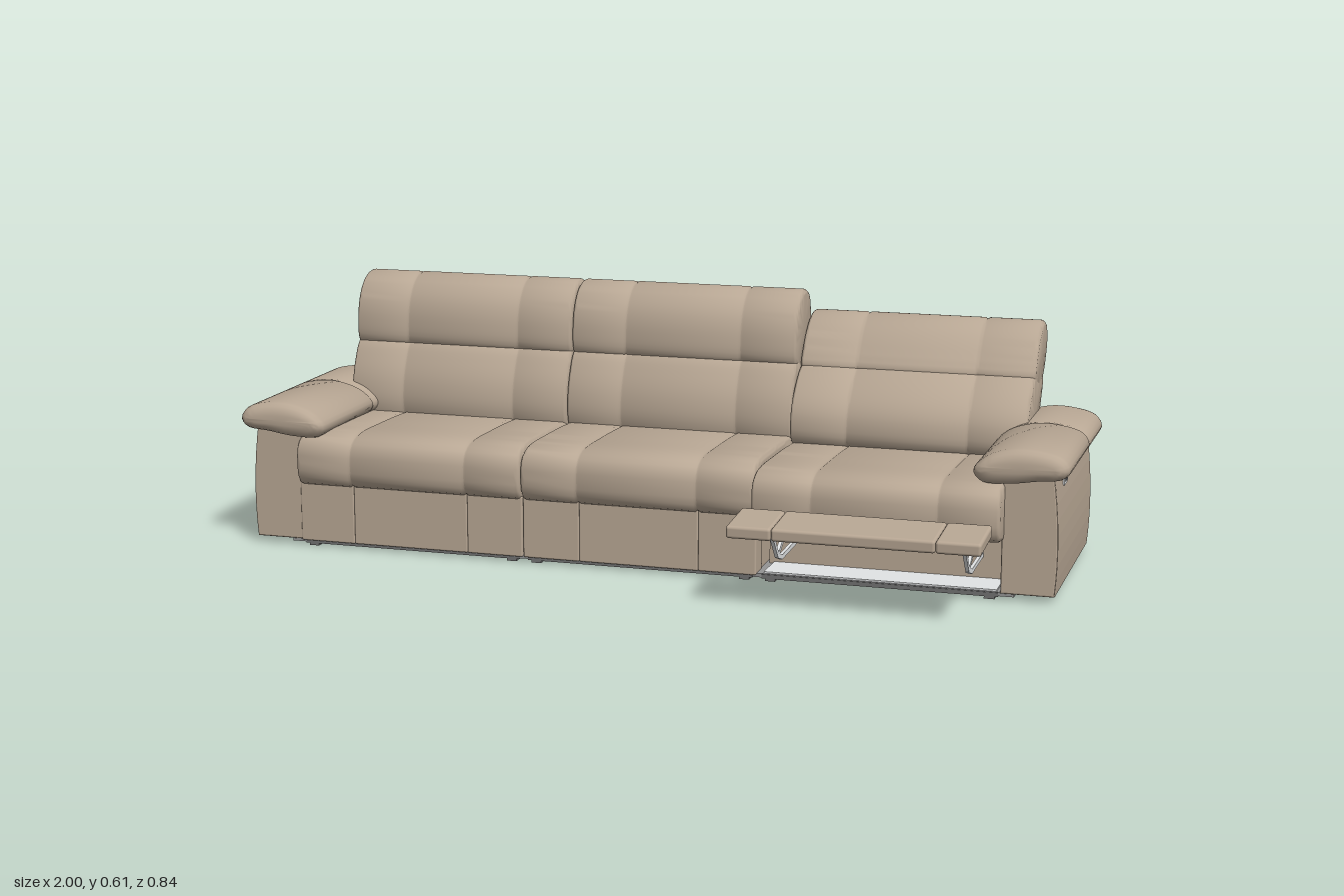
import * as THREE from 'three';
import { toCreasedNormals } from 'three/addons/utils/BufferGeometryUtils.js';
import { RoundedBoxGeometry } from 'three/addons/geometries/RoundedBoxGeometry.js';

const material = (name, color) => Object.assign(new THREE.MeshStandardMaterial({ color }), { name });

// Loft a closed smooth [z, y] section along x; each station is [x, inset]
function loft(section, stations, count = 48) {
  const curve = new THREE.CatmullRomCurve3(section.map(([z, y]) => new THREE.Vector3(z, y, 0)), true);
  let pts = curve.getSpacedPoints(count).slice(0, count);
  if (THREE.ShapeUtils.area(pts) < 0) pts = pts.reverse();
  const box = new THREE.Box3().setFromPoints(pts);
  const c = box.getCenter(new THREE.Vector3());
  const h = box.getSize(new THREE.Vector3()).multiplyScalar(0.5);
  const pos = [], index = [];
  for (const [x, inset] of stations)
    for (const p of pts)
      pos.push(x, c.y + (p.y - c.y) * (1 - inset / h.y), c.x + (p.x - c.x) * (1 - inset / h.x));
  const last = stations.length - 1;
  for (let i = 0; i < last; i++)
    for (let j = 0; j < count; j++) {
      const k = (j + 1) % count, a = i * count + j, b = i * count + k;
      index.push(a, a + count, b, b, a + count, b + count);
    }
  // End caps
  const n = pos.length / 3;
  pos.push(stations[0][0], c.y, c.x, stations[last][0], c.y, c.x);
  for (let j = 0; j < count; j++) {
    const k = (j + 1) % count;
    index.push(n, j, k, n + 1, last * count + k, last * count + j);
  }
  const g = new THREE.BufferGeometry();
  g.setAttribute('position', new THREE.Float32BufferAttribute(pos, 3));
  g.setIndex(index);
  return toCreasedNormals(g, 0.9);
}

// Rounded ends with shallow stitched grooves between them
function stations(x0, x1, seams, r) {
  const edge = [0, 0.25, 0.5, 0.75, 1].map((t) => {
    const a = t * Math.PI / 2;
    return [r * (1 - Math.cos(a)), r * (1 - Math.sin(a))];
  });
  return [
    ...edge.map(([d, s]) => [x0 + d, s]),
    ...seams.flatMap((x) => [[x - 0.006, 0], [x - 0.001, 0.003], [x + 0.001, 0.003], [x + 0.006, 0]]),
    ...edge.reverse().map(([d, s]) => [x1 - d, s]),
  ];
}

const SEAT = [[0.18, 0.21], [0.172, 0.255], [0.135, 0.276], [0, 0.28], [-0.2, 0.272], [-0.3, 0.26],
  [-0.3, 0.16], [0, 0.148], [0.13, 0.146], [0.17, 0.162]];
const UPRIGHT = {
  head: [[-0.212, 0.44], [-0.205, 0.5], [-0.222, 0.56], [-0.26, 0.6], [-0.305, 0.611], [-0.345, 0.595],
    [-0.36, 0.55], [-0.352, 0.48], [-0.34, 0.43], [-0.27, 0.422]],
  lumbar: [[-0.213, 0.446], [-0.185, 0.405], [-0.165, 0.35], [-0.162, 0.29], [-0.18, 0.25], [-0.3, 0.25],
    [-0.345, 0.35], [-0.335, 0.44], [-0.26, 0.456]],
  shell: [[-0.33, 0.325], [-0.366, 0.325], [-0.368, 0.33], [-0.368, 0.45], [-0.362, 0.565], [-0.35, 0.575],
    [-0.32, 0.57], [-0.32, 0.45]],
};
const RECLINED = {
  head: [[-0.237, 0.43], [-0.262, 0.48], [-0.31, 0.53], [-0.365, 0.552], [-0.405, 0.54], [-0.42, 0.505],
    [-0.4, 0.455], [-0.365, 0.415], [-0.3, 0.4]],
  lumbar: [[-0.24, 0.437], [-0.19, 0.405], [-0.15, 0.36], [-0.135, 0.32], [-0.14, 0.27], [-0.2, 0.24],
    [-0.3, 0.3], [-0.34, 0.36], [-0.37, 0.42], [-0.29, 0.445]],
  shell: [[-0.31, 0.325], [-0.345, 0.325], [-0.36, 0.345], [-0.385, 0.4], [-0.411, 0.462], [-0.395, 0.468],
    [-0.36, 0.43], [-0.33, 0.37]],
};
const ARM_PAD = [[1, 0.308], [0.985, 0.334], [0.93, 0.35], [0.87, 0.35], [0.81, 0.329], [0.782, 0.297],
  [0.8, 0.273], [0.86, 0.27], [0.93, 0.28], [0.985, 0.288]];

export function createModel() {
  const root = new THREE.Group();
  root.name = 'recliningSofa';
  const leather = material('taupeLeather', 0xb8a794);
  const metal = material('paleMetal', 0xe2e4e5);
  const lining = material('greyLining', 0x949494);
  const dark = material('darkGrey', 0x707070);

  const add = (name, geometry, mat = leather, parent = root) => {
    const mesh = new THREE.Mesh(geometry, mat);
    mesh.name = name;
    parent.add(mesh);
    return mesh;
  };
  // Box given by its lower and upper limits
  const block = (name, [x0, x1], [y0, y1], [z0, z1], mat = leather, r = 0, parent = root) => {
    const size = [x1 - x0, y1 - y0, z1 - z0];
    const g = r ? new RoundedBoxGeometry(...size, 3, r) : new THREE.BoxGeometry(...size);
    const mesh = add(name, g, mat, parent);
    mesh.position.set((x0 + x1) / 2, (y0 + y1) / 2, (z0 + z1) / 2);
    return mesh;
  };

  // Three seats, the one on the left reclined
  [-0.57, 0, 0.57].forEach((cx, i) => {
    const reclined = i === 2, back = reclined ? RECLINED : UPRIGHT;
    const seat = new THREE.Group();
    seat.name = ['rightSeat', 'middleSeat', 'leftSeat'][i];
    root.add(seat);
    const x0 = cx - 0.284, x1 = cx + 0.284, seams = [cx - 0.145, cx + 0.145];
    const section = reclined ? SEAT.map(([z, y]) => [z + 0.04, y - 0.009]) : SEAT;
    add('seatCushion', loft(section, stations(x0, x1, seams, 0.012), 64), leather, seat);
    add('headCushion', loft(back.head, stations(x0, x1, seams, 0.012)), leather, seat);
    add('lumbarCushion', loft(back.lumbar, stations(x0, x1, seams, 0.012)), leather, seat);
    add('backShell', loft(back.shell, stations(x0 + 0.006, x1 - 0.006, [], 0.006)), leather, seat);
    block('rearPanel', [x0 + 0.001, x1 - 0.001], [0.015, 0.33], [-0.366, -0.32], leather, 0.006, seat);
    block('seatBase', [x0 + 0.003, x1 - 0.003], [0.016, 0.18], [-0.34, reclined ? 0.05 : 0.14], leather, 0, seat);
    block('kickStrip', [x0 + 0.01, x1 - 0.01], [0.006, 0.016], [0.12, 0.152], dark, 0, seat);
    // Front panel in three stitched pieces
    if (!reclined) {
      const cuts = [x0, ...seams, x1];
      for (let k = 0; k < 3; k++)
        block('frontPanel', [cuts[k], cuts[k + 1]], [0.013, 0.16], [0.1, 0.157], leather, 0.004, seat);
    }
    for (const x of [x0 + 0.03, x1 - 0.03])
      block('foot', [x - 0.012, x + 0.012], [0, 0.014], [0.134, 0.15], dark, 0, seat);
  });

  // Arms
  for (const side of [-1, 1]) {
    const arm = new THREE.Group();
    arm.name = side > 0 ? 'leftArm' : 'rightArm';
    root.add(arm);
    const s = new THREE.Shape();
    s.moveTo(side * 0.853, 0.019);
    s.lineTo(side * 0.967, 0.019);
    s.quadraticCurveTo(side * 0.98, 0.15, side * 0.958, 0.3);
    s.lineTo(side * 0.853, 0.3);
    s.closePath();
    const body = add('armBody', new THREE.ExtrudeGeometry(s, {
      depth: 0.512, bevelSize: 0.004, bevelThickness: 0.004, bevelSegments: 2, curveSegments: 8,
    }), leather, arm);
    body.position.z = -0.361;
    const pad = add('armPad', loft(ARM_PAD.map(([x, y]) => [-side * x, y]),
      stations(-0.374, 0.187, [-0.135], 0.03)), leather, arm);
    pad.rotation.y = -Math.PI / 2;
    // Control plate with two raised buttons
    const plate = (name, y, z, out) => block(name,
      [side * (0.967 + out) - 0.004, side * (0.967 + out) + 0.004], y, z, metal, 0, arm);
    plate('controlPlate', [0.249, 0.271], [0.003, 0.052], 0);
    for (const z of [0.016, 0.033]) plate('controlButton', [0.256, 0.264], [z, z + 0.007], 0.001);
  }

  // Underside cover
  block('undersideCover', [-0.88, 0.88], [0.008, 0.017], [-0.345, 0.15], lining);

  // Extended footrest
  const footrest = new THREE.Group();
  footrest.name = 'footrest';
  root.add(footrest);
  const cuts = [0.283, 0.385, 0.75, 0.85];
  for (let k = 0; k < 3; k++) {
    const panel = block('footPanel', [cuts[k], cuts[k + 1]], [0.17, 0.199], [0.28, 0.42], leather, 0.007, footrest);
    panel.rotation.x = 0.075;
  }
  block('calfPanel', [0.34, 0.8], [0.155, 0.178], [0.221, 0.275], leather, 0.008, footrest);

  // Folding linkage on both sides, as [z, y] paths
  const links = [
    [[0.37, 0.163], [0.3, 0.168], [0.228, 0.084], [0.192, 0.072], [0.05, 0.076]],
    [[0.228, 0.084], [0.187, 0.109], [0.05, 0.109]],
    [[0.258, 0.122], [0.243, 0.14], [0.24, 0.16]],
  ];
  for (const x of [0.352, 0.788])
    for (const path of links)
      for (let k = 0; k + 1 < path.length; k++) {
        const [[za, ya], [zb, yb]] = [path[k], path[k + 1]];
        const bar = add('linkBar', new THREE.BoxGeometry(0.008, 0.011, Math.hypot(zb - za, yb - ya) + 0.006), metal, footrest);
        bar.position.set(x, (ya + yb) / 2, (za + zb) / 2);
        bar.rotation.x = -Math.atan2(yb - ya, zb - za);
      }
  block('crossBar', [0.352, 0.788], [0.098, 0.114], [0.1, 0.114], metal, 0, footrest);
  block('mechanismFloor', [0.3, 0.84], [0.017, 0.021], [0.05, 0.145], metal, 0, footrest);

  return root;
}
